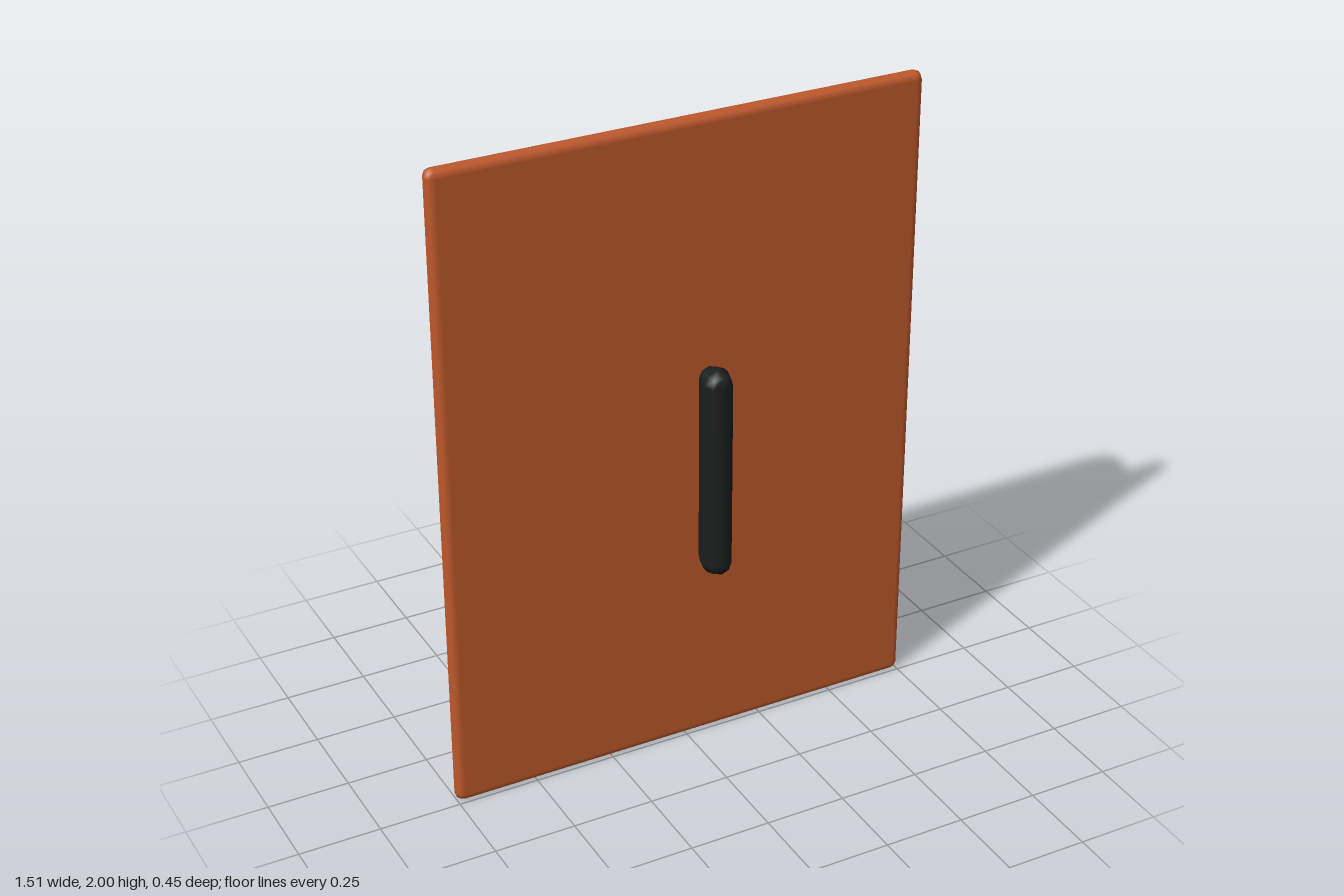
import * as THREE from 'three';
import { RoundedBoxGeometry } from 'three/addons/geometries/RoundedBoxGeometry.js';

// Softly rounded slab with a two-step bevel, placed by its centre
function slab(name, size, radius, center, color) {
  const mesh = new THREE.Mesh(
    new RoundedBoxGeometry(...size, 1, radius),
    new THREE.MeshStandardMaterial({ color })
  );
  mesh.name = name;
  mesh.position.set(...center);
  return mesh;
}

export function createModel() {
  const model = new THREE.Group();
  model.name = 'paddedPanel';
  model.add(
    // thin front board
    slab('frontBoard', [1.51, 2, 0.052], 0.026, [0, 1, -0.027], 0xc05a2c),
    // thick cushion on the back, with fully rounded rim
    slab('backPad', [1.404, 1.886, 0.172], 0.086, [0, 1.003, -0.139], 0x2f4f73),
    // upright grip standing clear of the board
    slab('grip', [0.087, 0.656, 0.109], 0.0435, [0, 1.003, 0.171], 0x1a1f1e)
  );
  return model;
}
